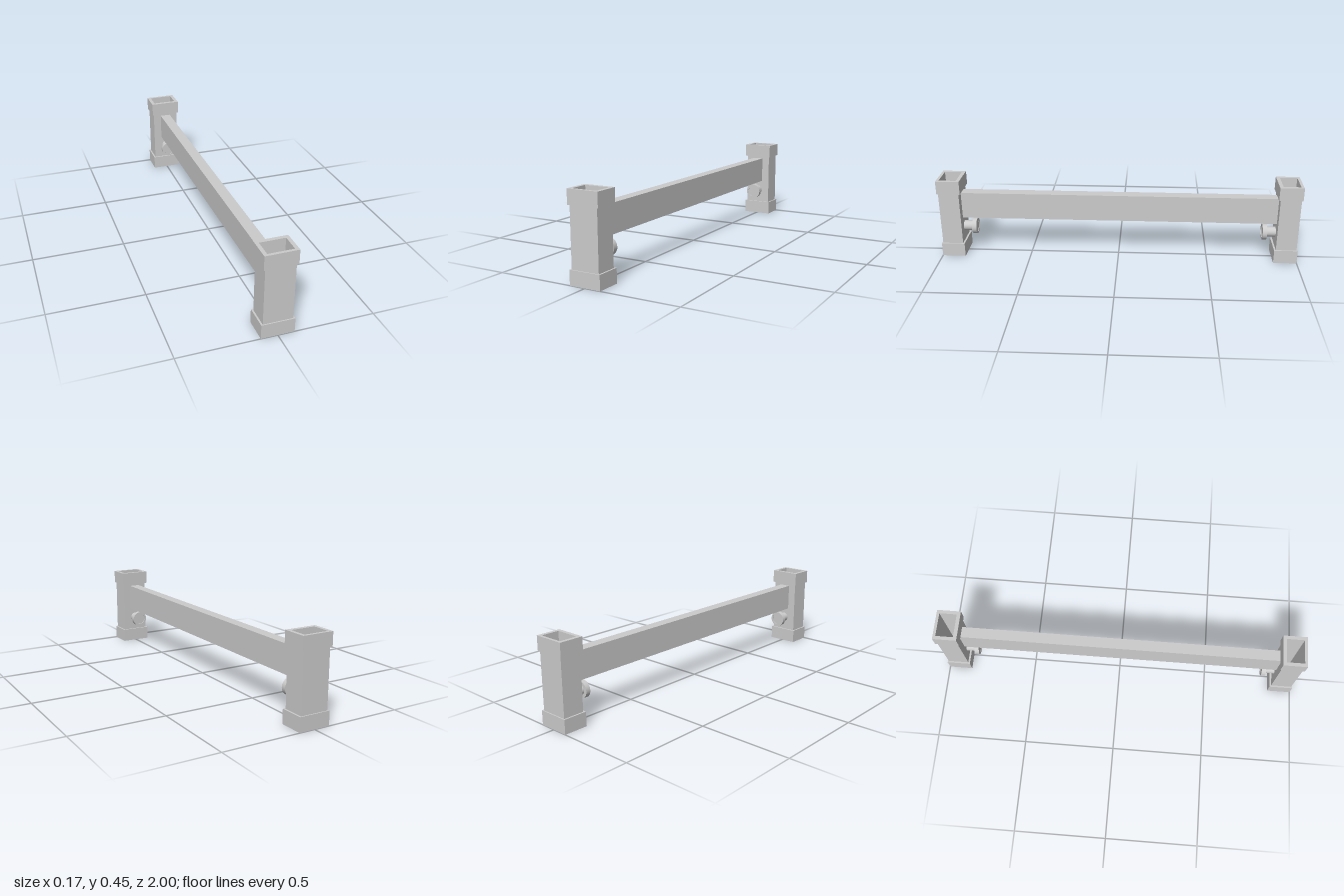
import * as THREE from 'three';

const material = new THREE.MeshStandardMaterial({ color: 0xcccccc });

function add(parent, name, geometry) {
  const mesh = new THREE.Mesh(geometry, material);
  mesh.name = name;
  parent.add(mesh);
  return mesh;
}

// Rectangular tube standing upright: x half-width, z range, y range, shared bore
const bore = { w: 0.066, z0: 0.89, z1: 0.985 };
function tube(w, z0, z1, y0, y1) {
  const rect = (target, hw, a, b) => target
    .moveTo(-hw, -a).lineTo(-hw, -b).lineTo(hw, -b).lineTo(hw, -a).closePath();
  const shape = rect(new THREE.Shape(), w, z0, z1);
  shape.holes.push(rect(new THREE.Path(), bore.w, bore.z0, bore.z1));
  return new THREE.ExtrudeGeometry(shape, { depth: y1 - y0, bevelEnabled: false })
    .rotateX(-Math.PI / 2).translate(0, y0, 0);
}

// Turned part with sharp edges: every profile segment is its own lathe strip
function turned(parent, name, profile) {
  const group = new THREE.Group();
  group.name = name;
  for (let i = 0; i < profile.length - 1; i++) {
    const points = [profile[i], profile[i + 1]].map(([r, y]) => new THREE.Vector2(r, y));
    add(group, name + 'Surface', new THREE.LatheGeometry(points, 32));
  }
  parent.add(group);
  return group;
}

function createEnd() {
  const end = new THREE.Group();
  add(end, 'post', tube(0.076, 0.88, 0.994, 0.076, 0.377));
  add(end, 'lowerCollar', tube(0.085, 0.87, 1, 0, 0.076));
  add(end, 'upperCollar', tube(0.085, 0.87, 1, 0.377, 0.452));

  // Clamping knob: stem, wide head and shallow dished face
  const knob = turned(end, 'knob', [
    [0.028, 0], [0.028, 0.05], [0.045, 0.05], [0.045, 0.075],
    [0.034, 0.075], [0.034, 0.071], [0, 0.071],
  ]);
  knob.rotation.x = -Math.PI / 2;
  knob.position.set(0, 0.154, 0.88);
  return end;
}

export function createModel() {
  const model = new THREE.Group();
  model.name = 'crossbarFrame';

  // Long rail joining the two posts
  add(model, 'rail', new THREE.BoxGeometry(0.06, 0.15, 1.76)).position.y = 0.29;

  // Matching ends, turned to face away from each other
  ['frontEnd', 'backEnd'].forEach((name, i) => {
    const end = createEnd();
    end.name = name;
    end.rotation.y = i * Math.PI;
    model.add(end);
  });
  return model;
}
